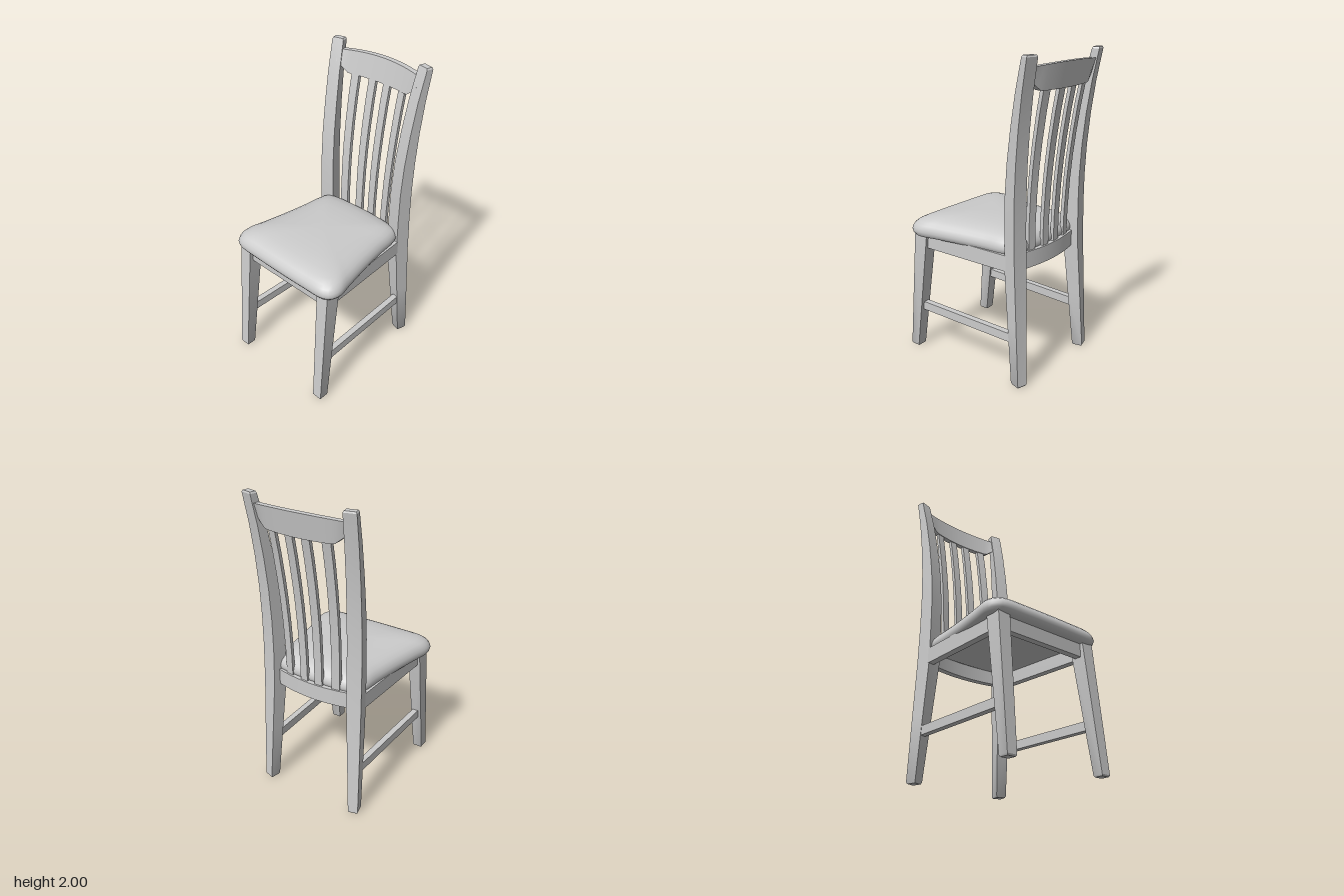
import * as THREE from 'three';
import { toCreasedNormals } from 'three/addons/utils/BufferGeometryUtils.js';

const material = new THREE.MeshStandardMaterial({ color: 0xcccccc });

// Skins a list of equal-length cross-sections and closes both ends; faces always point outward.
function loft(name, sections, crease = 0.5) {
  const n = sections[0].length, last = sections.length - 1;
  const tris = [];
  for (let i = 0; i < last; i++) {
    for (let j = 0; j < n; j++) {
      const k = (j + 1) % n;
      const a = sections[i][j], b = sections[i][k], c = sections[i + 1][k], d = sections[i + 1][j];
      tris.push([a, b, c], [a, c, d]);
    }
  }
  for (let j = 1; j < n - 1; j++) {
    tris.push([sections[0][0], sections[0][j + 1], sections[0][j]]);
    tris.push([sections[last][0], sections[last][j], sections[last][j + 1]]);
  }
  let volume = 0;
  const [A, B, C] = [new THREE.Vector3(), new THREE.Vector3(), new THREE.Vector3()];
  for (const [a, b, c] of tris) volume += A.fromArray(a).dot(B.fromArray(b).cross(C.fromArray(c)));
  const ordered = volume < 0 ? tris.map(([a, b, c]) => [a, c, b]) : tris;
  const geo = new THREE.BufferGeometry();
  geo.setAttribute('position', new THREE.Float32BufferAttribute(ordered.flat(2), 3));
  const mesh = new THREE.Mesh(toCreasedNormals(geo, crease), material);
  mesh.name = name;
  return mesh;
}

const mirrorX = (sections) => sections.map((s) => s.map(([x, y, z]) => [-x, y, z]));

// Adds small chamfers to both ends of a post.
function chamferEnds(sections, h = 0.01) {
  const inset = (s, dy) => {
    const c = [0, 1, 2].map((k) => s.reduce((sum, p) => sum + p[k], 0) / s.length);
    return s.map(([x, y, z]) => [c[0] + (x - c[0]) * 0.84, y + dy, c[2] + (z - c[2]) * 0.84]);
  };
  const lift = (s, dy) => s.map(([x, y, z]) => [x, y + dy, z]);
  const first = sections[0], end = sections[sections.length - 1];
  return [inset(first, 0), lift(first, h), ...sections.slice(1, -1), lift(end, -h), inset(end, 0)];
}

const rect = (x0, x1, y, z0, z1) => [[x0, y, z0], [x1, y, z0], [x1, y, z1], [x0, y, z1]];

// Back post: turned in plan, raked at the foot and curved backward at the top.
function backLegSections() {
  const rows = [ // y, front z, back z, width, outward shift
    [0, -0.352, -0.42, 0.062, 0.014], [0.4, -0.318, -0.4, 0.078, 0.007], [0.75, -0.288, -0.382, 0.092, 0],
    [1, -0.287, -0.375, 0.092, 0], [1.2, -0.29, -0.376, 0.09, 0], [1.4, -0.306, -0.385, 0.087, 0],
    [1.6, -0.335, -0.403, 0.083, 0], [1.8, -0.373, -0.43, 0.079, 0], [2, -0.421, -0.465, 0.075, 0],
  ];
  return chamferEnds(rows.map(([y, zf, zb, w, shift]) => {
    const corner = (z, side) => {
      const mid = 0.295 + (-0.295 - z) * 0.25 + shift;
      return [mid + side * w / 2, y, z + side * 0.009];
    };
    return [corner(zf, -1), corner(zf, 1), corner(zb, 1), corner(zb, -1)];
  }));
}

// Rail across the back, bowed backward in plan.
function bowedRail(name, half, bottom, top, zBottom, zTop, depth) {
  const sections = [];
  for (let i = 0; i <= 24; i++) {
    const x = half * (i / 12 - 1), bow = 0.5 * x * x;
    const yb = bottom(Math.abs(x)), yt = top(x);
    sections.push([[x, yb, zBottom + bow], [x, yt, zTop + bow],
      [x, yt, zTop - depth + bow], [x, yb, zBottom - depth + bow]]);
  }
  return loft(name, sections);
}

// Straight horizontal bar between two plan points.
function bar(name, [xa, za], [xb, zb], y0, y1, thick) {
  const dir = new THREE.Vector2(xb - xa, zb - za).normalize().multiplyScalar(thick / 2);
  const end = (x, z) => [[x - dir.y, y0, z + dir.x], [x + dir.y, y0, z - dir.x],
    [x + dir.y, y1, z - dir.x], [x - dir.y, y1, z + dir.x]];
  return loft(name, [end(xa, za), end(xb, zb)]);
}

// Padded seat: one plan outline scaled through a domed profile.
function seat() {
  const half = [[0.2, 0.462], [0.37, 0.452], [0.412, 0.422], [0.43, 0.365], [0.408, 0.25], [0.372, 0.06],
    [0.345, -0.12], [0.33, -0.26], [0.305, -0.32], [0.24, -0.342], [0.12, -0.353]];
  const points = [[0, 0.464], ...half, [0, -0.357], ...half.slice().reverse().map(([x, z]) => [-x, z])];
  const curve = new THREE.CatmullRomCurve3(points.map(([x, z]) => new THREE.Vector3(x, 0, z)), true, 'centripetal');
  const outline = curve.getSpacedPoints(96).slice(0, 96);
  const profile = [[0.92, 0.82], [0.965, 0.827], [0.99, 0.843], [1, 0.86], [0.99, 0.879], [0.965, 0.9],
    [0.92, 0.918], [0.84, 0.935], [0.72, 0.948], [0.55, 0.957], [0.3, 0.963], [0.02, 0.965]];
  const sections = profile.map(([s, y]) => outline.map((p) => [p.x * s, y, 0.05 + (p.z - 0.05) * s]));
  return loft('seatCushion', sections, 0.8);
}

// Back slat: leans outward slightly and follows the curve of the posts.
function slat(x) {
  const bend = [[0.78, 0], [1, -0.003], [1.2, -0.014], [1.35, -0.028], [1.5, -0.047], [1.67, -0.074], [1.84, -0.107]];
  return loft('backSlat', bend.map(([y, dz]) => {
    const mid = x * (1 + 0.07 * (y - 0.9)), w = 0.026;
    const z = (px) => -0.345 + dz + 0.5 * px * px;
    const [l, r] = [mid - w, mid + w];
    return [[l, y, z(l)], [r, y, z(r)], [r, y, z(r) - 0.024], [l, y, z(l) - 0.024]];
  }));
}

export function createModel() {
  const chair = new THREE.Group();
  chair.name = 'diningChair';

  // Legs
  const frontLeg = chamferEnds([rect(0.322, 0.388, 0, 0.435, 0.5), rect(0.298, 0.384, 0.84, 0.325, 0.428)]);
  const backLeg = backLegSections();
  chair.add(loft('frontLegLeft', frontLeg), loft('frontLegRight', mirrorX(frontLeg)));
  chair.add(loft('backLegLeft', backLeg), loft('backLegRight', mirrorX(backLeg)));

  // Seat frame and side stretchers
  for (const s of [1, -1]) {
    chair.add(bar('sideApron', [s * 0.318, -0.32], [s * 0.345, 0.37], 0.735, 0.835, 0.045));
    chair.add(bar('sideStretcher', [s * 0.325, -0.35], [s * 0.345, 0.43], 0.28, 0.337, 0.04));
  }
  chair.add(bar('frontApron', [-0.32, 0.385], [0.32, 0.385], 0.735, 0.835, 0.045));
  chair.add(bowedRail('backApron', 0.29, () => 0.735, () => 0.84, -0.338, -0.338, 0.043));

  // Seat
  chair.add(seat());

  // Backrest
  for (const x of [-0.172, -0.053, 0.053, 0.172]) chair.add(slat(x));
  chair.add(bowedRail('crestRail', 0.312, (x) => 1.8 + 0.8 * Math.max(0, x - 0.23),
    (x) => 1.95 - 0.15 * x * x, -0.438, -0.464, 0.036));
  return chair;
}
